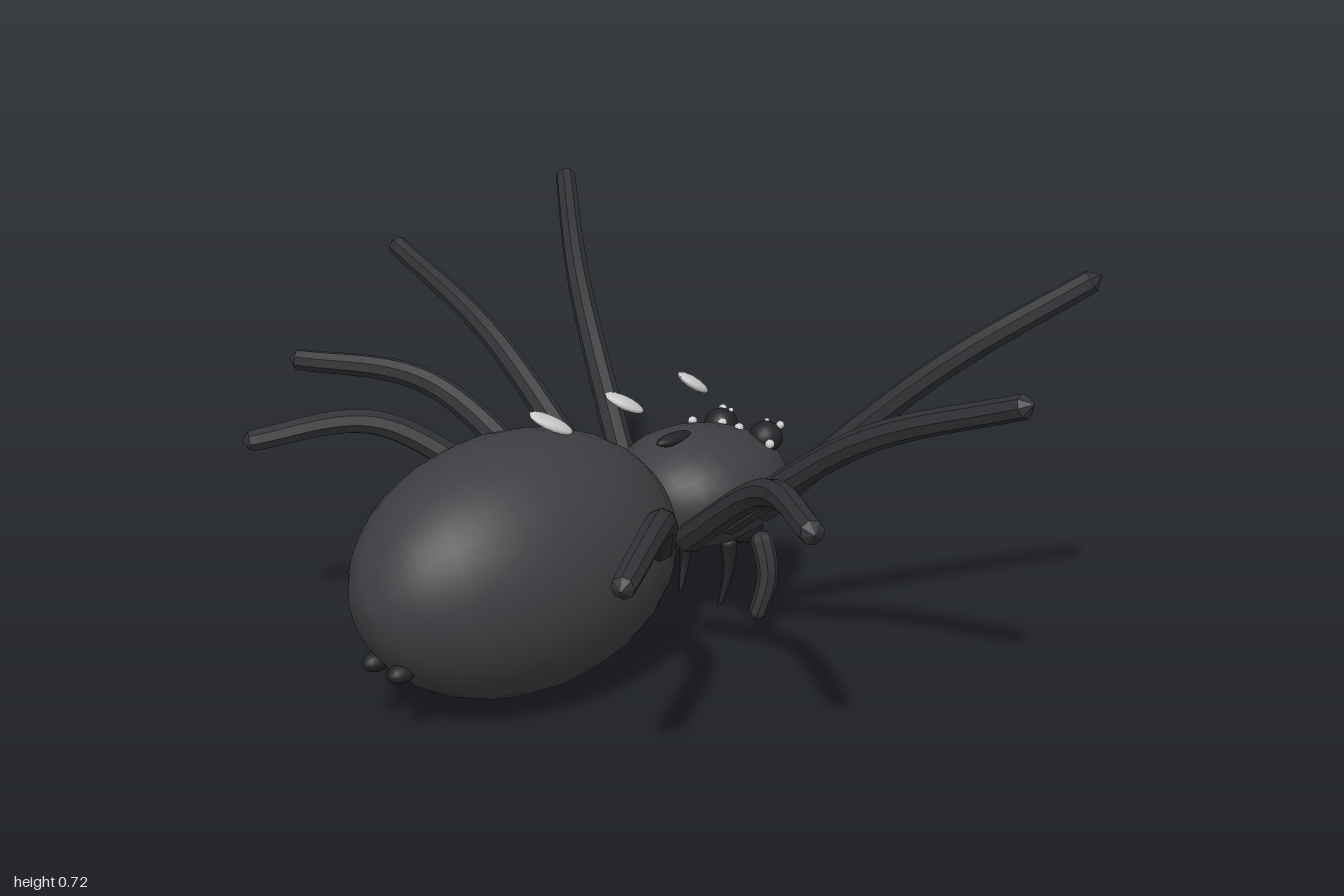
import * as THREE from 'three';

const bodyMat = new THREE.MeshStandardMaterial({ color: 0x3d3e41 });
const legMat = new THREE.MeshStandardMaterial({ color: 0x303134, flatShading: true });
const darkMat = new THREE.MeshStandardMaterial({ color: 0x222326 });
const paleMat = new THREE.MeshStandardMaterial({ color: 0xcccccc });

// Ellipsoid with its poles along z; the front half may be longer than the back half.
function ellipsoid(name, mat, [x, y, z], [rx, ry, rzPlus, rzMinus = rzPlus], segments = 16) {
  const geo = new THREE.SphereGeometry(1, segments, Math.max(8, segments / 2));
  geo.rotateX(Math.PI / 2);
  const p = geo.attributes.position;
  for (let i = 0; i < p.count; i++) {
    const pz = p.getZ(i);
    p.setXYZ(i, p.getX(i) * rx, p.getY(i) * ry, pz * (pz > 0 ? rzPlus : rzMinus));
  }
  geo.computeVertexNormals();
  const mesh = new THREE.Mesh(geo, mat);
  mesh.name = name;
  mesh.position.set(x, y, z);
  return mesh;
}

// Tapered limb with rounded ends, swept along a curve through the points.
function limb(name, mat, points, r0, r1) {
  const curve = new THREE.CatmullRomCurve3(points.map((p) => new THREE.Vector3(...p)));
  const rings = 40, sides = 8, length = curve.getLength();
  const geo = new THREE.TubeGeometry(curve, rings, 1, sides);
  const p = geo.attributes.position;
  const v = new THREE.Vector3();
  for (let i = 0; i <= rings; i++) {
    const t = i / rings;
    const r = THREE.MathUtils.lerp(r0, r1, t);
    const toEnd = Math.min(1, (Math.min(t, 1 - t) * length) / r);
    const radius = Math.max(0.0005, r * Math.sqrt(1 - (1 - toEnd) ** 2));
    const centre = curve.getPointAt(t);
    for (let j = 0; j <= sides; j++) {
      const k = i * (sides + 1) + j;
      v.fromBufferAttribute(p, k).sub(centre).multiplyScalar(radius).add(centre);
      p.setXYZ(k, v.x, v.y, v.z);
    }
  }
  geo.computeVertexNormals();
  const mesh = new THREE.Mesh(geo, mat);
  mesh.name = name;
  return mesh;
}

export function createModel() {
  const model = new THREE.Group();
  model.name = 'spider';

  // Body
  model.add(ellipsoid('abdomen', bodyMat, [0, 0.37, 0.05], [0.217, 0.225, 0.323], 32));
  model.add(ellipsoid('head', bodyMat, [0, 0.398, -0.385], [0.152, 0.109, 0.15, 0.2], 28));
  model.add(ellipsoid('headGroove', darkMat, [0, 0.5, -0.335], [0.017, 0.012, 0.045]));

  // Pale tilted markings above the back
  const marks = [[-0.38, 0.597, 0.028, 0.037], [-0.205, 0.597, 0.029, 0.039], [-0.03, 0.599, 0.03, 0.042]];
  for (const [z, y, rx, rz] of marks) {
    const mark = ellipsoid('backMarking', paleMat, [0, y, z], [rx, 0.01, rz]);
    mark.rotation.set(-0.5, z > -0.3 ? -0.4 : 0, -0.35);
    model.add(mark);
  }

  // Base, knee and tip of each leg on the +x side
  const legs = {
    firstLeg: [[0.16, 0.385, -0.37], [0.44, 0.685, -0.515], [0.645, 0.86, -0.67]],
    secondLeg: [[0.16, 0.39, -0.282], [0.46, 0.615, -0.295], [0.77, 0.745, -0.308]],
    thirdLeg: [[0.16, 0.385, -0.19], [0.42, 0.565, -0.105], [0.645, 0.595, 0.045]],
    fourthLeg: [[0.19, 0.405, -0.1], [0.355, 0.54, 0.07], [0.475, 0.522, 0.275]],
  };

  for (const side of [1, -1]) {
    const mirror = ([x, y, z]) => [side * x, y, z];
    const prefix = side > 0 ? 'left ' : 'right ';
    for (const [name, points] of Object.entries(legs)) {
      model.add(limb(prefix + name, legMat, points.map(mirror), 0.027, 0.02));
    }

    // Mouthparts
    const palp = [[0.125, 0.33, -0.432], [0.155, 0.255, -0.422], [0.15, 0.172, -0.397]];
    model.add(limb(prefix + 'palp', legMat, palp.map(mirror), 0.022, 0.016));
    model.add(ellipsoid(prefix + 'jaw', darkMat, mirror([0.05, 0.305, -0.475]), [0.03, 0.03, 0.04]));
    const fang = [[0.05, 0.3, -0.43], [0.055, 0.23, -0.425], [0.05, 0.165, -0.408]];
    model.add(limb(prefix + 'fang', darkMat, fang.map(mirror), 0.018, 0.004));

    // Large eye with glints, and small pale eyes around it
    model.add(ellipsoid(prefix + 'eye', darkMat, mirror([0.056, 0.474, -0.52]), [0.032, 0.03, 0.032], 20));
    const beads = [[0.097, 0.478, -0.485, 0.009], [0.021, 0.492, -0.485, 0.009],
      [0.072, 0.496, -0.542, 0.008], [0.045, 0.5, -0.535, 0.005]];
    for (const [x, y, z, r] of beads) {
      model.add(ellipsoid(prefix + 'smallEye', paleMat, mirror([x, y, z]), [r, r, r], 10));
    }

    // Silk nozzle at the tail
    model.add(ellipsoid(prefix + 'spinneret', darkMat, mirror([0.033, 0.264, 0.335]), [0.02, 0.017, 0.025]));
  }
  return model;
}
